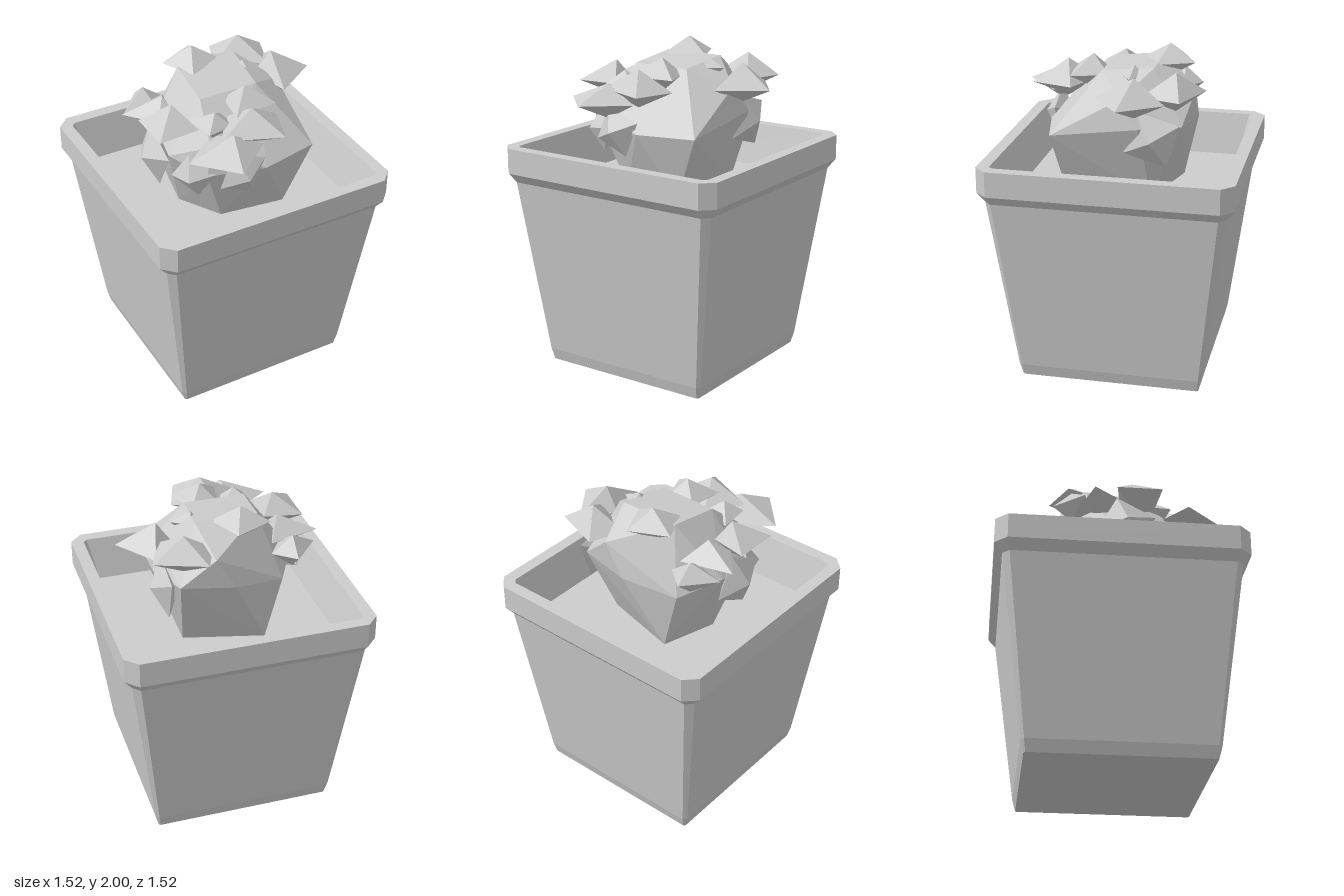
import * as THREE from 'three';
import { ConvexGeometry } from 'three/addons/geometries/ConvexGeometry.js';

const grey = new THREE.MeshStandardMaterial({ color: 0xcccccc });
grey.name = 'plain grey';
grey.flatShading = true;

function add(group, name, geometry) {
  const mesh = new THREE.Mesh(geometry, grey);
  mesh.name = name;
  group.add(mesh);
  return mesh;
}

// Square ring with cut corners: [half width, corner cut, height]
function ring([h, c, y]) {
  const e = h - c;
  return [[-e, h], [e, h], [h, e], [h, -e], [e, -h], [-e, -h], [-h, -e], [-h, e]]
    .map(([x, z]) => [x, y, z]);
}

// Skin a list of rings with flat faces
function loft(sections) {
  const rings = sections.map(ring);
  const pos = [];
  for (let i = 0; i < rings.length - 1; i++) {
    for (let k = 0; k < 8; k++) {
      const n = (k + 1) % 8;
      const a = rings[i][k], b = rings[i][n], c = rings[i + 1][n], d = rings[i + 1][k];
      pos.push(...a, ...b, ...c, ...a, ...c, ...d);
    }
  }
  const g = new THREE.BufferGeometry();
  g.setAttribute('position', new THREE.Float32BufferAttribute(pos, 3));
  g.computeVertexNormals();
  return g;
}

const hull = (points) => new ConvexGeometry(points.map((p) => new THREE.Vector3(...p)));

// Leaf tuft: a flat four-cornered crystal with a peak above and below
function tuft(apex, baseY, corners) {
  const [x, , z] = apex;
  return hull([apex, [x, baseY - 0.1, z], ...corners.map(([cx, cz]) => [cx, baseY, cz])]);
}

export function createModel() {
  const model = new THREE.Group();
  model.name = 'pottedPlant';

  // Pot: tapered wall and rim
  add(model, 'pot', loft([
    [0, 0, 0], [0.55, 0.01, 0], [0.57, 0.02, 0.075], [0.712, 0.042, 1.175],
    [0.76, 0.075, 1.235], [0.76, 0.075, 1.39], [0.685, 0.025, 1.39], [0.622, 0.02, 1.13],
  ]));

  // Soil surface
  add(model, 'soil', loft([[0.622, 0.02, 1.13], [0, 0, 1.13]]));

  const plant = new THREE.Group();
  plant.name = 'plant';
  model.add(plant);

  // Faceted core of the bush, with a nearly flat top
  add(plant, 'bushCore', hull([
    [-0.2, 1.87, 0.12], [0.17, 1.87, 0.12], [-0.18, 1.91, -0.2], [0.2, 1.91, -0.2],
    [0.4, 1.76, -0.03], [0.41, 1.52, 0.39], [0.05, 1.52, 0.47], [-0.25, 1.68, 0.34],
    [0.44, 1.6, -0.15], [0.34, 1.6, -0.39], [0.14, 1.78, -0.44], [0.02, 1.58, -0.44],
    [-0.3, 1.52, -0.33], [-0.44, 1.58, -0.08], [-0.42, 1.56, 0.14], [-0.28, 1.5, 0.36],
    [0.25, 1.13, 0.33], [-0.15, 1.13, 0.28], [0.28, 1.13, -0.2], [-0.3, 1.13, 0.02],
    [-0.2, 1.13, -0.32],
  ]));

  // Tufts spread over the top: peak, base height, four corners as x and z
  const tufts = [
    [[-0.16, 1.8, 0.45], 1.69, [[-0.44, 0.435], [-0.22, 0.67], [0.03, 0.46], [-0.2, 0.25]]],
    [[0, 1.89, 0.37], 1.76, [[-0.22, 0.42], [0.12, 0.56], [0.2, 0.31], [-0.08, 0.2]]],
    [[0.05, 1.94, 0.2], 1.83, [[-0.05, 0.12], [0.13, 0.09], [0.2, 0.31], [-0.08, 0.34]]],
    [[-0.18, 1.85, 0.26], 1.77, [[-0.28, 0.15], [-0.08, 0.18], [-0.1, 0.32], [-0.26, 0.35]]],
    [[-0.37, 1.87, 0.09], 1.75, [[-0.53, -0.02], [-0.3, 0.02], [-0.27, 0.24], [-0.53, 0.26]]],
    [[-0.34, 1.82, -0.09], 1.72, [[-0.57, -0.16], [-0.26, -0.25], [-0.3, 0.01], [-0.42, 0.02]]],
    [[-0.37, 1.78, -0.29], 1.68, [[-0.37, -0.405], [-0.53, -0.22], [-0.24, -0.3], [-0.33, -0.16]]],
    [[-0.06, 2, -0.25], 1.9, [[-0.23, -0.3], [0, -0.41], [0.1, -0.19], [-0.13, -0.09]]],
    [[0.31, 1.92, -0.35], 1.79, [[0.2, -0.51], [0.5, -0.4], [0.42, -0.16], [0.12, -0.3]]],
    [[0.41, 1.9, -0.12], 1.76, [[0.64, -0.06], [0.37, 0.12], [0.31, -0.14], [0.46, -0.31]]],
    [[0.19, 1.92, -0.08], 1.86, [[0.14, -0.08], [0.2, -0.14], [0.31, -0.07], [0.2, 0]]],
  ];
  for (const args of tufts) add(plant, 'leafTuft', tuft(...args));

  // Lower tufts leaning out of the sides: centre, radius, heading, roll
  const sideTufts = [
    [[0.39, 1.53, -0.22], 0.19, Math.PI / 2, 0.5],
    [[-0.46, 1.53, 0.04], 0.19, -Math.PI / 2, 0.3],
    [[-0.1, 1.52, 0.45], 0.16, 0, 0.4],
    [[-0.33, 1.48, 0.28], 0.14, -0.8, 0.2],
  ];
  for (const [centre, r, heading, roll] of sideTufts) {
    const t = add(plant, 'sideTuft', new THREE.OctahedronGeometry(1));
    t.scale.set(r, r, 0.09);
    t.rotation.set(0, heading, roll, 'YXZ');
    t.position.set(...centre);
  }

  return model;
}
